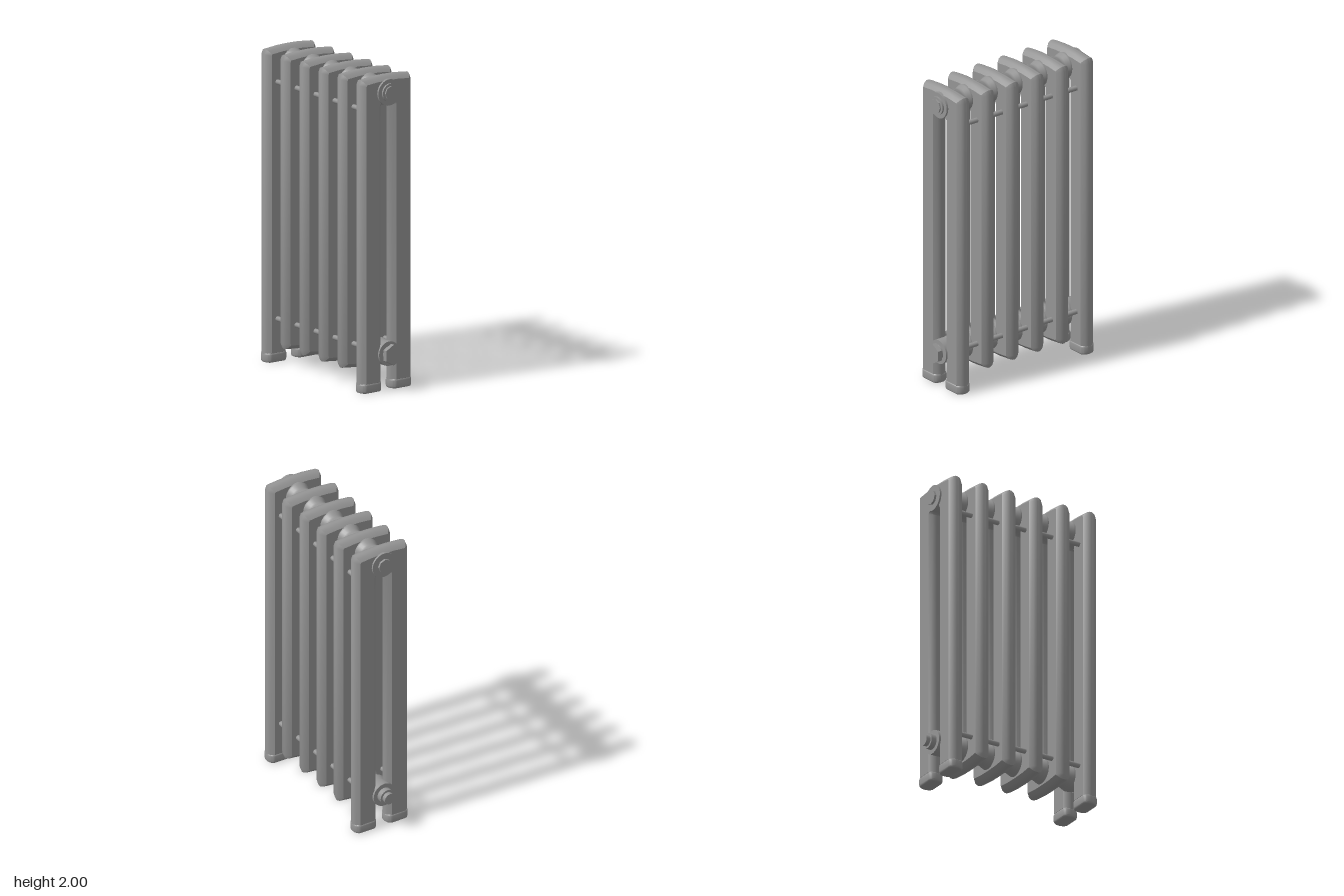
import * as THREE from 'three';
import { mergeVertices, toCreasedNormals } from 'three/addons/utils/BufferGeometryUtils.js';

const COUNT = 6, PITCH = 0.196, FRONT_Z = 0.497;
const TOP_Y = 1.895, LOW_Y = 0.235;   // heights of the two hub rows
const BEVEL = 0.03, BEVEL_T = 0.04, THICK = 0.097;

const material = new THREE.MeshStandardMaterial({ color: 0x949494 });

function add(parent, name, geometry, x = 0, y = 0, z = 0) {
  const mesh = new THREE.Mesh(geometry, material);
  mesh.name = name;
  mesh.position.set(x, y, z);
  parent.add(mesh);
  return mesh;
}

function polygon(points, Type = THREE.Shape) {
  return new Type(points.map(([x, y]) => new THREE.Vector2(x, y)));
}

// Smooth over the bevel, sharp at real corners
function crease(geometry) {
  geometry.deleteAttribute('uv');
  geometry.deleteAttribute('normal');
  return toCreasedNormals(mergeVertices(geometry, 1e-4), 0.6);
}

// Gently arched top edge, from left to right of the section
const crown = [[0.165, 1.95], [0.161, 1.96], [0.08, 1.968], [0, 1.97],
  [-0.08, 1.968], [-0.161, 1.96], [-0.165, 1.95]];

// Half-round end of the slot between the two columns
function slotEnd(y, direction) {
  const points = [];
  for (let i = 0; i <= 8; i++) {
    const a = Math.PI * i / 8;
    points.push([-0.065 * Math.cos(a), y + direction * 0.035 * Math.sin(a)]);
  }
  return points;
}

function sectionGeometry(isEnd) {
  let shape;
  if (isEnd) {
    // two legs joined over the top
    shape = polygon([...crown, [-0.165, 0.06], [-0.065, 0.06],
      ...slotEnd(1.81, 1), [0.065, 0.06], [0.165, 0.06]]);
  } else {
    // closed loop with a long slot
    shape = polygon([...crown, [-0.165, 0.16], [-0.161, 0.15], [-0.08, 0.142], [0, 0.14],
      [0.08, 0.142], [0.161, 0.15], [0.165, 0.16]]);
    shape.holes.push(polygon([...slotEnd(1.81, 1), ...slotEnd(0.32, -1).reverse()], THREE.Path));
  }
  const core = THICK - 2 * BEVEL_T;
  const geometry = new THREE.ExtrudeGeometry(shape, {
    depth: core, bevelThickness: BEVEL_T, bevelSize: BEVEL, bevelSegments: 2,
  }).translate(0, 0, -core / 2);
  // flatten the bevel's middle ring so the rim tapers to a ridge
  const position = geometry.attributes.position;
  for (let i = 0; i < position.count; i++) {
    const z = position.getZ(i), out = Math.abs(z) - core / 2;
    if (out > 0.01 && out < 0.035) position.setZ(i, Math.sign(z) * (core / 2 + 0.021));
  }
  return crease(geometry);
}

// Foot: oval plan with softened top and bottom rims
function footGeometry() {
  const points = [];
  for (let i = 0; i < 32; i++) {
    const a = Math.PI * 2 * i / 32, c = Math.cos(a), s = Math.sin(a);
    points.push([Math.sign(c) * (0.045 + 0.025 * Math.abs(c)), s * 0.04]);
  }
  return crease(new THREE.ExtrudeGeometry(polygon(points), {
    depth: 0.035, bevelThickness: 0.014, bevelSize: 0.011, bevelSegments: 3,
  })).rotateX(-Math.PI / 2).translate(0, 0.014, 0);
}

// Waisted hub running along z between neighbouring sections
function hubGeometry() {
  const h = PITCH / 2;
  const profile = [[0.075, -h], [0.083, -0.05], [0.08, -0.04], [0.069, -0.012], [0.066, 0],
    [0.069, 0.012], [0.08, 0.04], [0.083, 0.05], [0.075, h]];
  return new THREE.LatheGeometry(profile.map(([r, y]) => new THREE.Vector2(r, y)), 32)
    .rotateX(Math.PI / 2);
}

// Stepped fitting: a row of discs [radius, length, sides] going outward
function fitting(parent, name, y, direction, steps) {
  const group = new THREE.Group();
  group.name = name;
  let z = 0;
  for (const [radius, length, sides] of steps) {
    let disc = new THREE.CylinderGeometry(radius, radius, length, sides).rotateX(Math.PI / 2);
    if (sides < 10) {
      disc = disc.toNonIndexed();
      disc.computeVertexNormals();
    }
    add(group, name + 'Step', disc, 0, 0, direction * (z + length / 2));
    z += length;
  }
  const end = direction > 0 ? FRONT_Z : FRONT_Z - (COUNT - 1) * PITCH;
  group.position.set(0, y, end);
  parent.add(group);
}

export function createModel() {
  const model = new THREE.Group();
  model.name = 'radiator';
  const endSection = sectionGeometry(true);
  const middleSection = sectionGeometry(false);
  const foot = footGeometry();
  const hub = hubGeometry();

  for (let i = 0; i < COUNT; i++) {
    const z = FRONT_Z - i * PITCH;
    const isEnd = i === 0 || i === COUNT - 1;
    add(model, isEnd ? 'endSection' : 'middleSection', isEnd ? endSection : middleSection, 0, 0, z);
    if (isEnd) {
      for (const side of [-1, 1]) add(model, 'foot', foot, side * 0.115, 0, z);
    }
    if (i < COUNT - 1) {
      for (const y of [TOP_Y, LOW_Y]) add(model, 'hub', hub, 0, y, z - PITCH / 2);
    }
  }

  // Tie rods along both sides, high and low
  const rodLength = (COUNT - 1) * PITCH - 0.06;
  const rod = new THREE.CylinderGeometry(0.016, 0.016, rodLength, 16).rotateX(Math.PI / 2);
  const middleZ = FRONT_Z - (COUNT - 1) * PITCH / 2;
  for (const side of [-1, 1]) {
    for (const y of [1.78, 0.275]) add(model, 'tieRod', rod, side * 0.12, y, middleZ);
  }

  // Plugs and valve connections on the two ends
  fitting(model, 'frontTopPlug', TOP_Y, 1, [[0.084, 0.062, 32], [0.058, 0.012, 32], [0.045, 0.01, 8]]);
  fitting(model, 'frontLowPlug', LOW_Y, 1, [[0.078, 0.06, 32], [0.048, 0.018, 32], [0.066, 0.03, 6]]);
  fitting(model, 'backTopPlug', TOP_Y, -1, [[0.084, 0.06, 32], [0.045, 0.014, 8]]);
  fitting(model, 'backLowConnection', LOW_Y, -1,
    [[0.078, 0.062, 32], [0.05, 0.036, 32], [0.036, 0.028, 24]]);
  return model;
}
